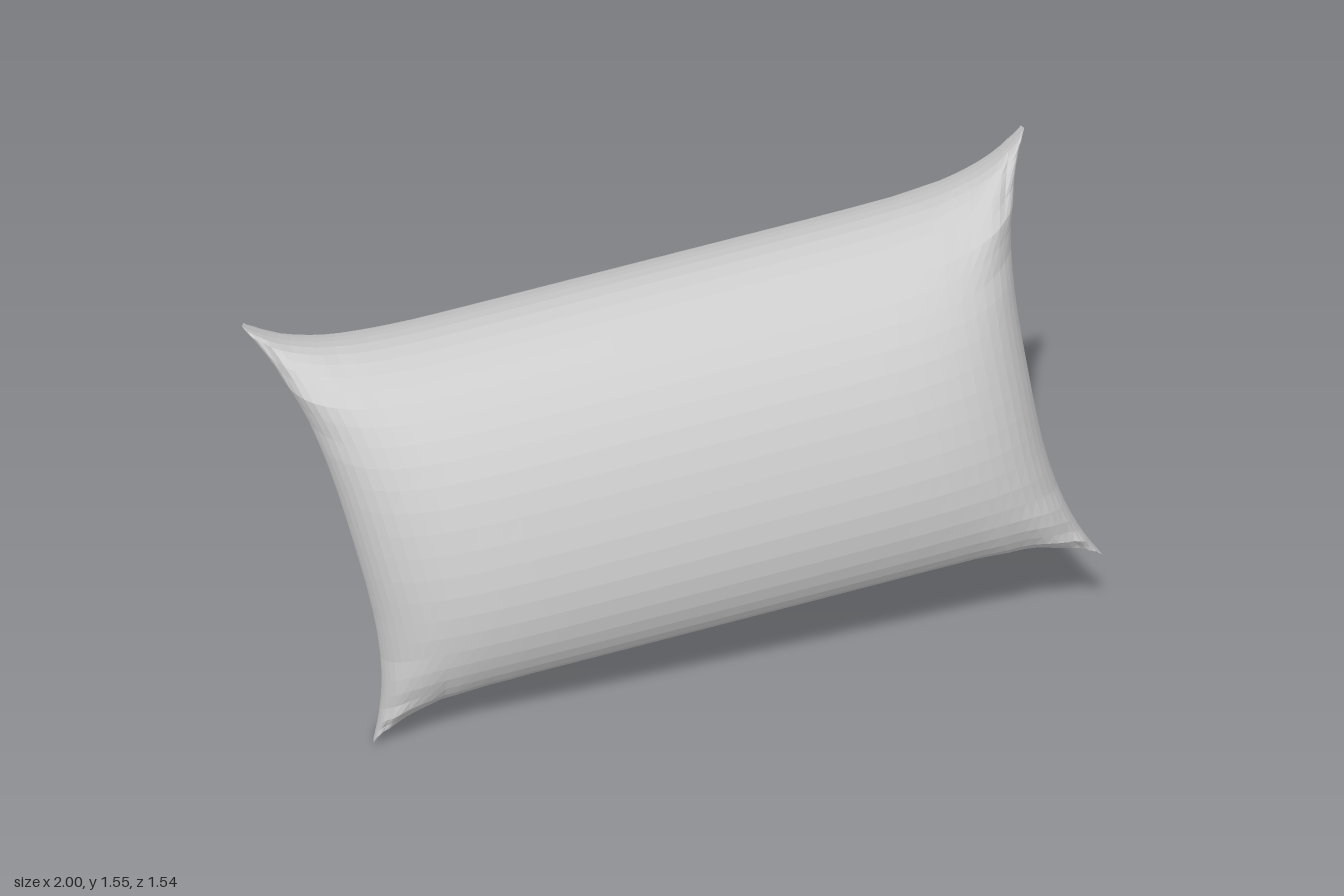
import * as THREE from 'three';

const NU = 48, NV = 26;            // grid along the length and the height
const THICK = 0.375, SEAM = 0.018; // half thickness of the filling and of the seam
const material = new THREE.MeshStandardMaterial({ color: 0xcccccc, flatShading: true, side: THREE.DoubleSide });

// repeatable noise in -1..1
const noise = (i, seed) => {
  const s = Math.sin(i * 12.9898 + seed * 78.233) * 43758.5453;
  return 2 * (s - Math.floor(s)) - 1;
};

// samples crowd towards the seams, where the cloth turns
const spread = (i, n) => Math.sin((i / n - 0.5) * Math.PI);

// outline with pulled-in sides and four pointed corners
function outline(p, q) {
  return [
    p * (0.93 + 0.115 * Math.abs(q) ** 3),
    q * (0.505 + 0.115 * Math.abs(p) ** 8),
  ];
}

// one puffed cloth panel, gathered into creases near its corners
function panel(seed) {
  const geometry = new THREE.PlaneGeometry(2, 2, NU, NV);
  const pos = geometry.attributes.position;
  for (let j = 0; j <= NV; j++) {
    for (let i = 0; i <= NU; i++) {
      const p = spread(i, NU), q = -spread(j, NV);
      const P = Math.abs(p), Q = Math.abs(q);
      const puff = Math.sqrt(Math.max(0, 1 - P ** 6)) * Math.sqrt(Math.max(0, 1 - Q ** 2.2));
      const crease = 1
        + 0.28 * noise(i, seed) * Q ** 8 * P ** 5
        + 0.28 * noise(j, seed + 3) * P ** 14 * Q ** 2;
      const [x, y] = outline(p, q);
      pos.setXYZ(j * (NU + 1) + i, x, y, SEAM + THICK * puff * crease);
    }
  }
  geometry.computeVertexNormals();
  return geometry;
}

// narrow band joining the rims of the two panels
function seamBand() {
  const rim = [];
  for (let i = 0; i < NU; i++) rim.push(outline(spread(i, NU), -1));
  for (let j = 0; j < NV; j++) rim.push(outline(1, spread(j, NV)));
  for (let i = NU; i > 0; i--) rim.push(outline(spread(i, NU), 1));
  for (let j = NV; j > 0; j--) rim.push(outline(-1, spread(j, NV)));
  const points = [], index = [];
  rim.forEach(([x, y], k) => {
    points.push(x, y, SEAM, x, y, -SEAM);
    const a = 2 * k, b = 2 * ((k + 1) % rim.length);
    index.push(a, a + 1, b + 1, a, b + 1, b);
  });
  const geometry = new THREE.BufferGeometry();
  geometry.setAttribute('position', new THREE.Float32BufferAttribute(points, 3));
  geometry.setIndex(index);
  geometry.computeVertexNormals();
  return geometry;
}

export function createModel() {
  const pillow = new THREE.Group();
  pillow.name = 'pillow';
  const add = (name, geometry) => {
    const mesh = new THREE.Mesh(geometry, material);
    mesh.name = name;
    pillow.add(mesh);
  };
  add('frontPanel', panel(1));
  add('backPanel', panel(2).rotateY(Math.PI));
  add('seam', seamBand());

  // tilt: length, height and thickness directions
  const along = new THREE.Vector3(0.749, 0.184, -0.639).normalize();
  const out = along.clone().cross(new THREE.Vector3(-0.335, 0.933, -0.129)).normalize();
  const up = out.clone().cross(along);
  pillow.quaternion.setFromRotationMatrix(new THREE.Matrix4().makeBasis(along, up, out));
  pillow.position.set(0, 0.78, 0);

  const model = new THREE.Group();
  model.name = 'tiltedPillow';
  model.add(pillow);
  return model;
}
